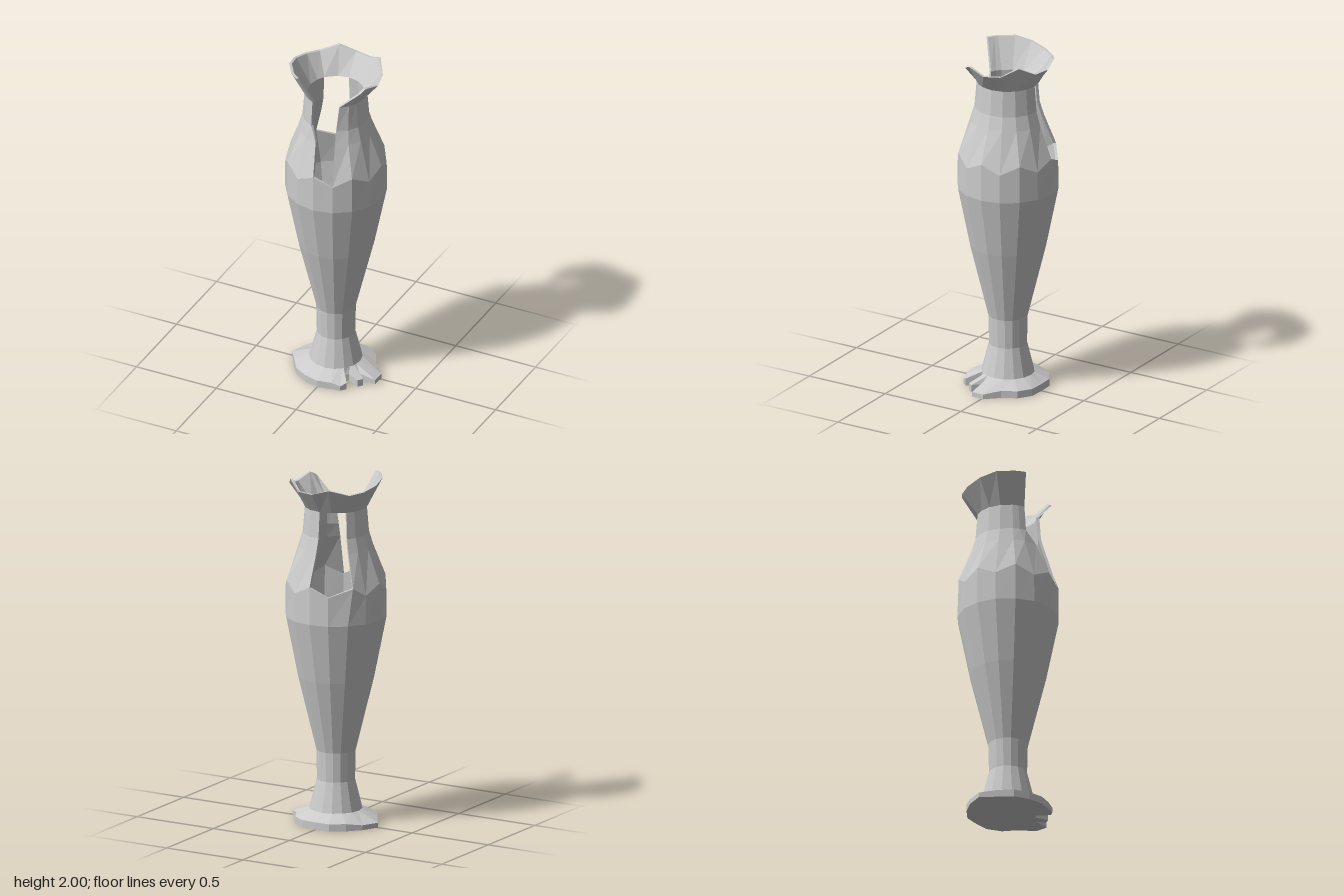
import * as THREE from 'three';

const SIDES = 16;
const WALL = 0.016;
const material = new THREE.MeshStandardMaterial({ color: 0xcccccc, flatShading: true });

// point at an angle (degrees from the front towards +x), radius and height
const polar = (deg, r, y) => {
  const a = THREE.MathUtils.degToRad(deg);
  return [Math.sin(a) * r, y, Math.cos(a) * r];
};

// flat-shaded mesh from a list of triangle corners
function meshFrom(name, corners) {
  const geometry = new THREE.BufferGeometry();
  geometry.setAttribute('position', new THREE.Float32BufferAttribute(corners.flat(), 3));
  geometry.computeVertexNormals();
  const mesh = new THREE.Mesh(geometry, material);
  mesh.name = name;
  return mesh;
}

// vase profile from stem to rim: [height, radius]
const PROFILE = [
  [0.08, 0.15], [0.25, 0.108], [0.42, 0.112], [0.85, 0.217], [1.2, 0.287],
  [1.39, 0.285], [1.6, 0.212], [1.68, 0.188], [1.83, 0.176], [1.97, 0.264],
];
const BELLY = 5, NECK = 8, RIM = 9;

// uneven height of the broken rim, starting at the front
const RIM_Y = [2, 1.95, 1.97, 1.97, 1.94, 1.95, 2, 1.95, 1.95, 1.98, 1.95, 1.96, 1.98, 2, 2, 2];

// angles of the columns that follow the crack edges, from the belly ring up
const CRACKS = {
  0: [0, -6, -21, -22, -31],
  15: [337.5, 333, 327, 326, 320],
  1: [22.5, 25, 27, 33, 57],
  2: [45, 46, 48, 51, 65],
  10: [231, 231, 231, 231, 228],
};

function wallPoint(ring, col, inset) {
  const k = (col + SIDES) % SIDES;
  let [y, r] = PROFILE[ring];
  if (ring === BELLY) y += k % 2 ? -0.025 : 0.025;
  if (ring === RIM) y = RIM_Y[k];
  const deg = ring >= BELLY && CRACKS[k] ? CRACKS[k][ring - BELLY] : (k * 360) / SIDES;
  return polar(deg, r - inset, y);
}

// which wall panels survive: a full-height gap in front, a window behind
function isKept(ring, col) {
  const k = (col + SIDES) % SIDES;
  if (ring < 0 || ring >= RIM) return false;
  if (k === 0 && ring >= BELLY) return false;
  return !((k === 8 || k === 9) && ring >= BELLY && ring < NECK);
}

function createWall() {
  const corners = [];
  const quad = (a, b, c, d) => corners.push(a, b, c, a, c, d);
  for (let i = 0; i < RIM; i++) {
    for (let k = 0; k < SIDES; k++) {
      if (!isKept(i, k)) continue;
      const [a, b, c, d] = [[i, k], [i, k + 1], [i + 1, k + 1], [i + 1, k]].map(([r, s]) => wallPoint(r, s, 0));
      const [e, f, g, h] = [[i, k], [i, k + 1], [i + 1, k + 1], [i + 1, k]].map(([r, s]) => wallPoint(r, s, WALL));
      quad(a, b, c, d);
      quad(f, e, h, g);
      // wall thickness along broken edges
      if (!isKept(i + 1, k)) quad(d, c, g, h);
      if (!isKept(i - 1, k)) quad(b, a, e, f);
      if (!isKept(i, k - 1)) quad(d, h, e, a);
      if (!isKept(i, k + 1)) quad(b, f, g, c);
    }
  }
  return meshFrom('vaseWall', corners);
}

// chipped foot outline: [angle, radius]
const FOOT = [
  [0, 0.235], [20, 0.235], [32, 0.25], [41, 0.24], [44, 0.155], [54, 0.16],
  [57, 0.24], [65, 0.245], [71, 0.19], [77, 0.285], [92, 0.28], [112, 0.225],
  [135, 0.235], [157, 0.235], [180, 0.222], [202, 0.235], [225, 0.235],
  [248, 0.25], [270, 0.275], [292, 0.235], [315, 0.235], [338, 0.23],
];

function createFoot() {
  const corners = [];
  const rimHeight = (r) => (r < 0.25 ? 0.042 : 0.028);
  FOOT.forEach(([deg0, r0], i) => {
    const [deg1, r1] = FOOT[(i + 1) % FOOT.length];
    const hub0 = polar(deg0, 0.148, 0.082), hub1 = polar(deg1, 0.148, 0.082);
    const top0 = polar(deg0, r0, rimHeight(r0)), top1 = polar(deg1, r1, rimHeight(r1));
    const low0 = polar(deg0, r0, 0), low1 = polar(deg1, r1, 0);
    corners.push(top0, top1, hub1, top0, hub1, hub0);
    corners.push(low0, low1, top1, low0, top1, top0);
    corners.push([0, 0, 0], low1, low0);
    corners.push([0, 0.082, 0], hub0, hub1);
  });
  return meshFrom('chippedFoot', corners);
}

export function createModel() {
  const model = new THREE.Group();
  model.name = 'brokenVase';
  model.add(createWall(), createFoot());

  // floor inside the vase
  const floor = new THREE.Mesh(new THREE.CylinderGeometry(0.098, 0.098, 0.03, SIDES), material);
  floor.name = 'innerFloor';
  floor.position.y = 0.25;
  model.add(floor);
  return model;
}
